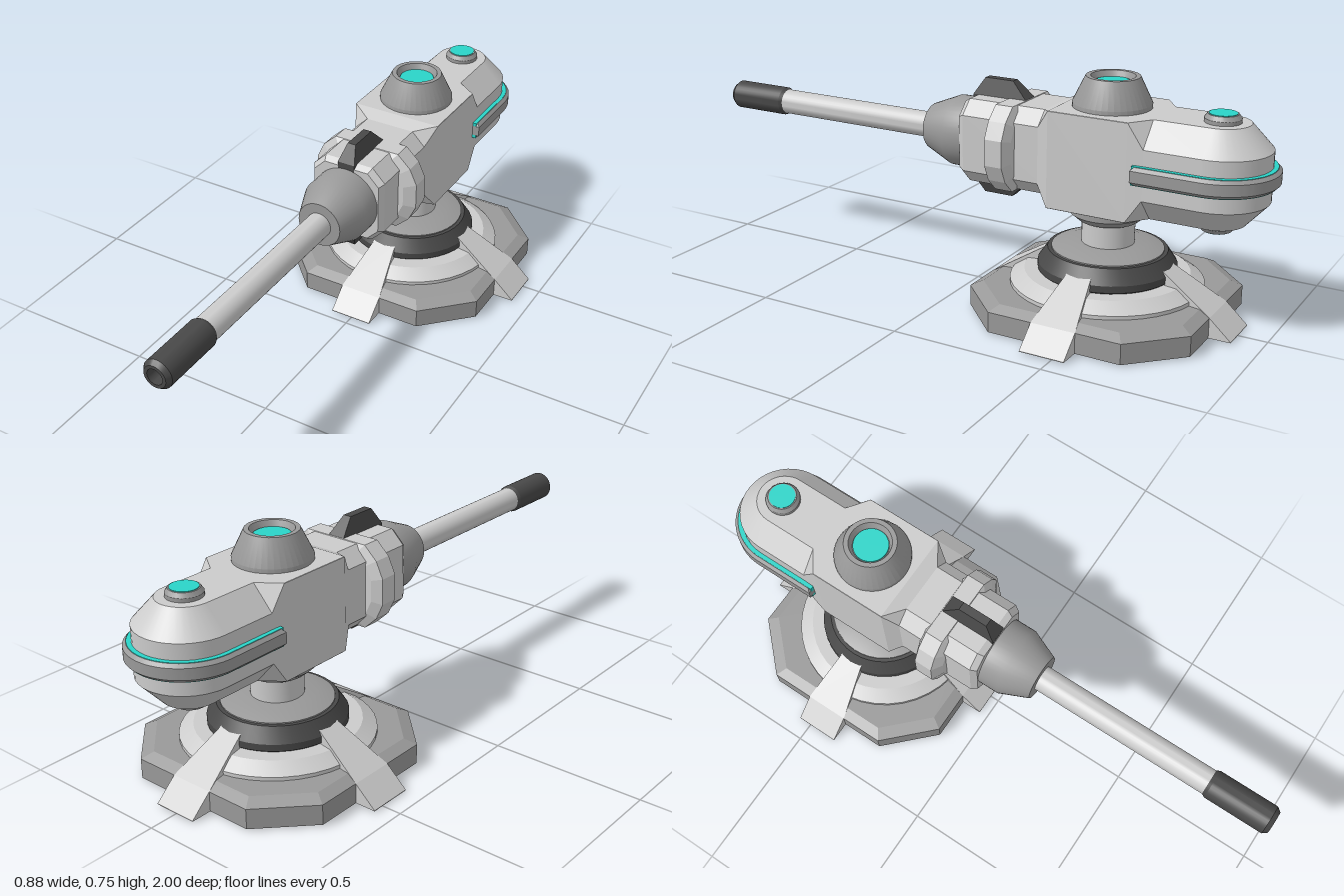
import * as THREE from 'three';
import { toCreasedNormals } from 'three/addons/utils/BufferGeometryUtils.js';

const mat = (color, flatShading = false) => new THREE.MeshStandardMaterial({ color, flatShading });
const LIGHT = 0xcccccc, MID = 0x999999, DARK = 0x484848, TEAL = 0x2ad4c8;
const CY = 0.503; // height of the gun axis
const PZ = -0.47; // z of the turning axis
const TZ = -0.82; // z of the rounded tail's axis

function add(parent, name, geo, color, x = 0, y = 0, z = 0, flat = false) {
  const m = new THREE.Mesh(geo, mat(color, flat));
  m.name = name;
  m.position.set(x, y, z);
  parent.add(m);
  return m;
}

// Turned part: profile of [radius, height] pairs, bottom to top
function lathe(profile, segments = 40) {
  const geo = new THREE.LatheGeometry(profile.map(([r, y]) => new THREE.Vector2(r, y)), segments);
  return toCreasedNormals(geo, 0.45);
}

// Solid through cross-sections { z, pts }, ordered by rising z, points counter-clockwise
function loft(sections) {
  const pos = [];
  const n = sections[0].pts.length;
  const put = (s, i) => pos.push(...s.pts[i % n], s.z);
  for (let k = 0; k < sections.length - 1; k++) {
    const a = sections[k], b = sections[k + 1];
    for (let i = 0; i < n; i++) {
      put(a, i); put(a, i + 1); put(b, i + 1);
      put(a, i); put(b, i + 1); put(b, i);
    }
  }
  const first = sections[0], last = sections[sections.length - 1];
  for (let i = 1; i < n - 1; i++) {
    put(first, 0); put(first, i + 1); put(first, i);
    put(last, 0); put(last, i); put(last, i + 1);
  }
  const geo = new THREE.BufferGeometry();
  geo.setAttribute('position', new THREE.Float32BufferAttribute(pos, 3));
  geo.computeVertexNormals();
  return geo;
}

const rect = (w, y0, y1) => [[w, y0], [w, y1], [-w, y1], [-w, y0]];
// Rectangle with cut corners
const oct = (w, h, cx, cy) => [
  [w, cy - h], [w, h - cy], [w - cx, h], [cx - w, h],
  [-w, h - cy], [-w, cy - h], [cx - w, -h], [w - cx, -h],
];

// Outline of the tail rim, open end towards the front
function rimGeometry(r, h, bevel) {
  const s = new THREE.Shape();
  s.moveTo(-r, 0.61);
  s.lineTo(-r, -TZ);
  s.absarc(0, -TZ, r, Math.PI, 0, true);
  s.lineTo(r, 0.61);
  s.closePath();
  const geo = new THREE.ExtrudeGeometry(s, {
    depth: h - 2 * bevel, curveSegments: 32, bevelEnabled: bevel > 0,
    bevelSize: bevel, bevelThickness: bevel, bevelOffset: -bevel, bevelSegments: 1,
  });
  geo.translate(0, 0, -h / 2 + bevel);
  geo.rotateX(-Math.PI / 2);
  return toCreasedNormals(geo, 0.45);
}

function buildBase() {
  const base = new THREE.Group();
  base.name = 'base';
  base.position.z = PZ;

  const slab = loft([
    { z: 0.005, pts: oct(0.37, 0.37, 0.152, 0.152) },
    { z: 0.07, pts: oct(0.37, 0.37, 0.152, 0.152) },
    { z: 0.088, pts: oct(0.335, 0.335, 0.138, 0.138) },
  ]).rotateX(-Math.PI / 2);
  add(base, 'baseSlab', slab, MID, 0, 0, 0, true);
  add(base, 'baseRing', lathe([[0.305, 0.08], [0.305, 0.1], [0.26, 0.13], [0, 0.13]]), LIGHT);
  add(base, 'bearing', lathe([[0.205, 0.125], [0.218, 0.135], [0.218, 0.157], [0.188, 0.202], [0, 0.202]]), DARK);
  add(base, 'bearingCap', lathe([[0.176, 0.2], [0.176, 0.206], [0.125, 0.223], [0, 0.223]]), MID);
  add(base, 'column', lathe([[0.083, 0.2], [0.083, 0.32]]), LIGHT);

  // Four sloping feet
  const foot = loft([
    { z: 0.13, pts: rect(0.035, 0.01, 0.175) },
    { z: 0.2, pts: rect(0.04, 0.005, 0.175) },
    { z: 0.37, pts: rect(0.073, 0.005, 0.07) },
    { z: 0.44, pts: rect(0.073, 0.005, 0.007) },
  ]);
  for (let i = 0; i < 4; i++) add(base, 'foot', foot, LIGHT, 0, 0, 0, true).rotation.y = i * Math.PI / 2;

  // Square pads under the slab
  for (const [x, z] of [[0, 0], [1, 1], [1, -1], [-1, 1], [-1, -1]]) {
    add(base, 'padGlow', new THREE.BoxGeometry(0.146, 0.009, 0.146), TEAL, x * 0.148, 0.0055, z * 0.148);
    add(base, 'pad', new THREE.BoxGeometry(0.14, 0.009, 0.14), DARK, x * 0.148, 0.0045, z * 0.148);
  }
  return base;
}

function buildTurret() {
  const turret = new THREE.Group();
  turret.name = 'turret';
  turret.position.y = CY;

  // Main housing: bevelled rear, square middle, tapered front
  const H = 0.153;
  add(turret, 'housing', loft([
    { z: TZ, pts: oct(H, H, 0.068, 0.075) },
    { z: -0.64, pts: oct(H, H, 0.068, 0.075) },
    { z: -0.59, pts: oct(0.155, H, 0.001, 0.001) },
    { z: -0.33, pts: oct(0.155, H, 0.001, 0.001) },
    { z: -0.285, pts: oct(0.13, 0.135, 0.045, 0.045) },
  ]), LIGHT, 0, 0, 0, true);
  add(turret, 'tail', lathe([[0, -H], [0.085, -H], [H, -0.078], [H, 0.078], [0.085, H], [0, H]]), LIGHT, 0, 0, TZ);
  add(turret, 'tailRim', rimGeometry(0.178, 0.055, 0.01), MID);
  add(turret, 'tailRimGlow', rimGeometry(0.167, 0.058, 0), TEAL);

  // Round buttons above and below the tail
  for (const s of [1, -1]) {
    const button = new THREE.Group();
    button.name = 'tailButton';
    button.position.set(0, s * H, TZ);
    if (s < 0) button.rotation.z = Math.PI;
    add(button, 'buttonRim', lathe([[0.055, -0.01], [0.055, 0.012], [0.046, 0.025], [0, 0.025]], 32), MID);
    add(button, 'buttonGlow', new THREE.CylinderGeometry(0.042, 0.042, 0.01, 32), TEAL, 0, 0.022);
    turret.add(button);
  }

  // Hatch on top and collar below
  add(turret, 'hatch', lathe([[0.122, 0.14], [0.122, 0.166], [0.083, 0.247], [0.068, 0.247], [0.058, 0.225], [0, 0.225]]), MID, 0, 0, PZ);
  add(turret, 'hatchGlow', new THREE.CylinderGeometry(0.056, 0.056, 0.008, 32), TEAL, 0, 0.226, PZ);
  add(turret, 'collar', lathe([[0, -0.206], [0.095, -0.206], [0.122, -0.183], [0.122, -0.14]]), MID, 0, 0, PZ);

  // Neck with bulging flanks
  add(turret, 'neck', loft([
    { z: -0.3, pts: oct(0.13, 0.135, 0.045, 0.045) },
    { z: -0.02, pts: oct(0.13, 0.135, 0.045, 0.045) },
    { z: 0, pts: oct(0.118, 0.122, 0.04, 0.04) },
  ]), LIGHT, 0, 0, 0, true);
  const right = [[0.115, -0.137], [0.16, -0.095], [0.185, -0.042], [0.185, 0.042], [0.16, 0.095], [0.115, 0.137]];
  const flank = [...right, ...right.map(([x, y]) => [-x, -y])];
  const scaled = (k) => flank.map(([x, y]) => [x * k, y * k]);
  add(turret, 'neckFlanks', loft([
    { z: -0.205, pts: scaled(0.82) }, { z: -0.19, pts: flank },
    { z: -0.13, pts: flank }, { z: -0.11, pts: scaled(0.8) },
  ]), LIGHT, 0, 0, 0, true);

  // Dark fins above and below the neck
  const fin = loft([
    { z: 0.1, pts: rect(0.03, 0, 0.19) },
    { z: 0.135, pts: rect(0.03, 0, 0.19) },
    { z: 0.19, pts: rect(0.014, 0.035, 0.135) },
  ]).rotateX(-Math.PI / 2);
  add(turret, 'topFin', fin, DARK, 0, 0, 0, true);
  add(turret, 'bottomFin', fin.clone().rotateZ(Math.PI), DARK, 0, 0, 0, true);

  // Barrel along +z
  const gun = new THREE.Group();
  gun.name = 'gun';
  gun.rotation.x = Math.PI / 2;
  add(gun, 'barrelSocket', lathe([[0, -0.01], [0.115, -0.01], [0.115, 0.07], [0.075, 0.165], [0, 0.165]]), MID);
  add(gun, 'barrel', lathe([[0.042, 0.15], [0.042, 0.8]], 32), LIGHT);
  add(gun, 'muzzle', lathe([[0.04, 0.77], [0.048, 0.785], [0.048, 0.985], [0.037, 1], [0.026, 1], [0.026, 0.95]], 32), DARK);
  add(gun, 'bore', new THREE.CylinderGeometry(0.027, 0.027, 0.01, 32), LIGHT, 0, 0.95, 0);
  turret.add(gun);
  return turret;
}

export function createModel() {
  const model = new THREE.Group();
  model.name = 'cannonTurret';
  model.add(buildBase(), buildTurret());
  return model;
}
